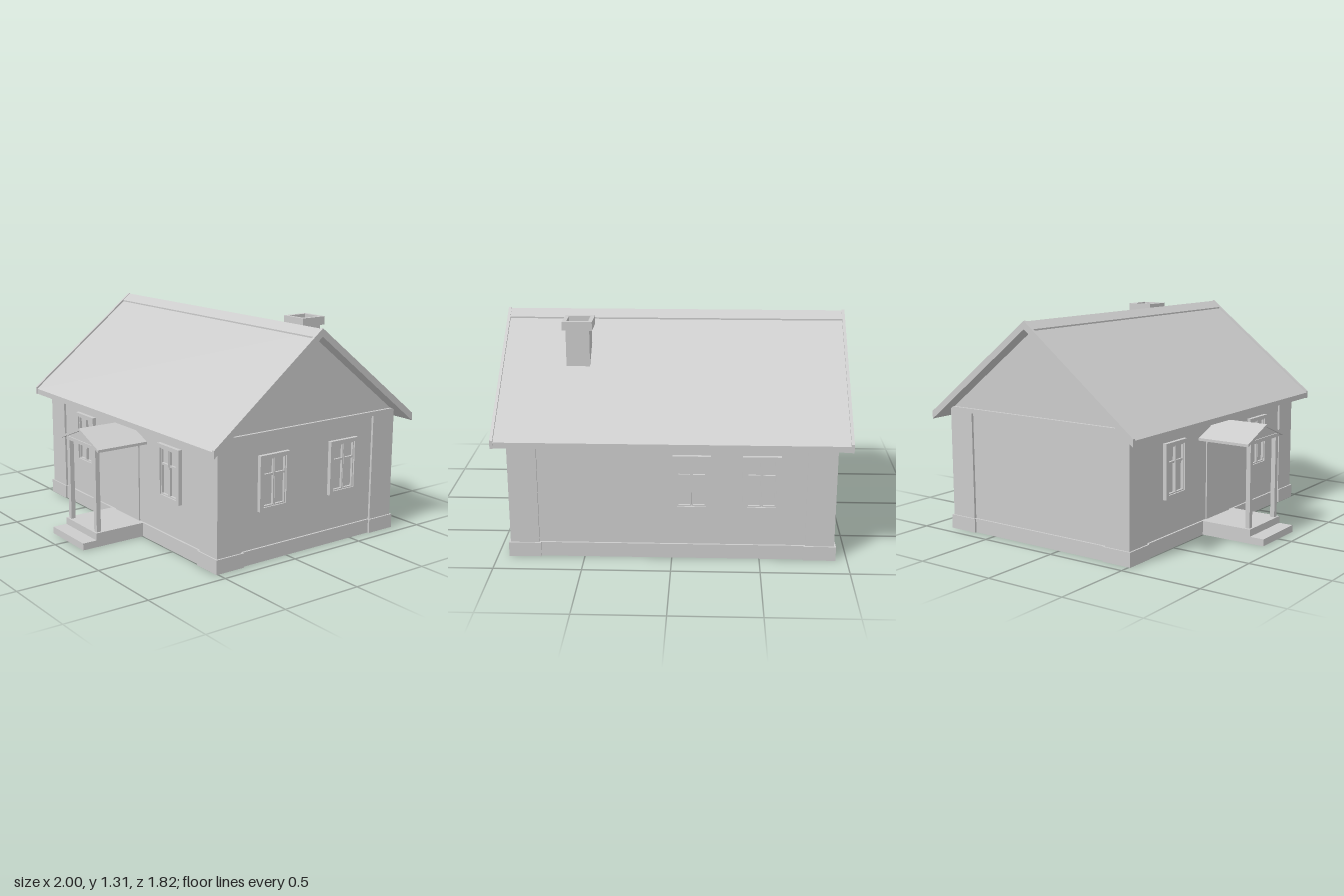
import * as THREE from 'three';

const MID = -0.165; // z of the ridge, middle of the house
const grey = new THREE.MeshStandardMaterial({ color: 0xcccccc, flatShading: true, side: THREE.DoubleSide });

function add(parent, name, geometry, x = 0, y = 0, z = 0) {
  const mesh = new THREE.Mesh(geometry, grey);
  mesh.name = name;
  mesh.position.set(x, y, z);
  parent.add(mesh);
  return mesh;
}

// Box given by its limits on each axis
function block(parent, name, [x0, x1], [y0, y1], [z0, z1]) {
  return add(parent, name, new THREE.BoxGeometry(x1 - x0, y1 - y0, z1 - z0),
    (x0 + x1) / 2, (y0 + y1) / 2, (z0 + z1) / 2);
}

function extrude(points, depth) {
  const shape = new THREE.Shape(points.map(([x, y]) => new THREE.Vector2(x, y)));
  return new THREE.ExtrudeGeometry(shape, { depth, bevelEnabled: false });
}

// Gabled sheet: half span, height of ridge, slope and vertical thickness
function chevron(half, top, slope, thick) {
  const eave = top - half * slope;
  return [[-half, eave - thick], [0, top - thick], [half, eave - thick],
    [half, eave], [0, top], [-half, eave]];
}

// Rectangular plan whose side panels step in between the corner pilasters
function plan(hx, hz, px, pz, inset) {
  const a = hx - inset, b = hz - inset;
  return [[hx, hz], [px, hz], [px, b], [-px, b], [-px, hz], [-hx, hz],
    [-hx, pz], [-a, pz], [-a, -pz], [-hx, -pz], [-hx, -hz],
    [-px, -hz], [-px, -b], [px, -b], [px, -hz], [hx, -hz],
    [hx, -pz], [a, -pz], [a, pz], [hx, pz]];
}

// Open shell through a stack of plans
function loft(rings) {
  const pos = [], idx = [], n = rings[0].plan.length;
  for (const r of rings) for (const [x, z] of r.plan) pos.push(x, r.y, z);
  for (let k = 0; k < rings.length - 1; k++) {
    for (let i = 0; i < n; i++) {
      const a = k * n + i, b = k * n + (i + 1) % n;
      idx.push(a, a + n, b, b, a + n, b + n);
    }
  }
  const g = new THREE.BufferGeometry();
  g.setAttribute('position', new THREE.Float32BufferAttribute(pos, 3));
  g.setIndex(idx);
  const flat = g.toNonIndexed();
  flat.computeVertexNormals();
  return flat;
}

// Rectangular frame with an opening
function frame(w, h, iw, ih, depth) {
  const rect = (p, a, b) => {
    p.moveTo(-a, -b); p.lineTo(a, -b); p.lineTo(a, b); p.lineTo(-a, b); p.closePath();
    return p;
  };
  const shape = rect(new THREE.Shape(), w / 2, h / 2);
  shape.holes.push(rect(new THREE.Path(), iw / 2, ih / 2));
  return new THREE.ExtrudeGeometry(shape, { depth, bevelEnabled: false });
}

// Casement window standing on the local z = 0 plane
function makeWindow() {
  const w = new THREE.Group();
  w.name = 'window';
  add(w, 'windowCasing', frame(0.215, 0.325, 0.163, 0.28, 0.024), 0, 0, 0);
  for (const s of [-1, 1]) {
    add(w, 'windowSash', frame(0.08, 0.28, 0.066, 0.266, 0.015), s * 0.0415, 0, 0);
    block(w, 'glazingBar', [s * 0.0415 - 0.034, s * 0.0415 + 0.034], [0.038, 0.05], [0, 0.013]);
  }
  return w;
}

export function createModel() {
  const house = new THREE.Group();
  house.name = 'house';

  // Plinth, walls with recessed panels, and ledge below the gables
  const plinth = plan(0.935, 0.675, 0.75, 0.485, 0.012);
  const wall = plan(0.925, 0.665, 0.76, 0.495, 0.014);
  const belt = plan(0.925, 0.665, 0.76, 0.495, 0);
  const ledge = plan(0.908, 0.66, 0.76, 0.495, 0);
  add(house, 'walls', loft([
    { plan: plinth, y: 0 }, { plan: plinth, y: 0.085 }, { plan: wall, y: 0.085 },
    { plan: wall, y: 0.73 }, { plan: belt, y: 0.73 }, { plan: belt, y: 0.757 },
    { plan: ledge, y: 0.757 },
  ]), 0, 0, MID);

  // Gable walls
  for (const s of [-1, 1]) {
    const gable = extrude([[-0.655, 0.755], [0.655, 0.755], [0, 1.268]], 0.006);
    gable.rotateY(Math.PI / 2);
    add(house, 'gable', gable, s * 0.905 - 0.003, 0, MID);
  }

  // Main roof, ridge cap and verge boards
  const roofPart = (name, points, x0, x1) => {
    const g = extrude(points, x1 - x0);
    g.rotateY(Math.PI / 2);
    add(house, name, g, x0, 0, MID);
  };
  const slope = 0.778;
  roofPart('roof', chevron(0.743, 1.297, slope, 0.034), -0.985, 0.985);
  roofPart('ridgeCap', chevron(0.053, 1.306, slope, 0.02), -0.985, 0.985);
  for (const s of [-1, 1]) {
    roofPart('vergeBoard', chevron(0.745, 1.31, slope, 0.047), s * 0.9915 - 0.0085, s * 0.9915 + 0.0085);
  }

  // Hollow chimney
  const chimney = new THREE.Group();
  chimney.name = 'chimney';
  chimney.position.set(0.55, 0, -0.426);
  house.add(chimney);
  const upright = (name, out, inn, y0, y1) => {
    const g = frame(out, out, inn, inn, y1 - y0);
    g.rotateX(-Math.PI / 2);
    add(chimney, name, g, 0, y0, 0);
  };
  upright('chimneyShaft', 0.136, 0.11, 0.98, 1.256);
  upright('chimneyCap', 0.172, 0.125, 1.256, 1.306);
  block(chimney, 'flueFloor', [-0.06, 0.06], [1.235, 1.245], [-0.06, 0.06]);

  // Windows: two at the front, two at the back, two on one end
  const placeWindow = (x, z, turn) => {
    const w = makeWindow();
    w.position.set(x, 0.4625, z);
    w.rotation.y = turn;
    house.add(w);
  };
  const panelZ = 0.651, panelX = 0.911;
  for (const x of [-0.48, 0.465]) placeWindow(x, MID + panelZ, 0);
  for (const x of [-0.112, -0.505]) placeWindow(x, MID - panelZ, Math.PI);
  for (const z of [0.102, -0.423]) placeWindow(panelX, z, Math.PI / 2);

  // Door
  block(house, 'door', [-0.132, 0.132], [0.085, 0.573], [0.48, 0.494]);

  // Porch: floor, step, posts, beams and gabled roof
  const porch = new THREE.Group();
  porch.name = 'porch';
  house.add(porch);
  block(porch, 'porchFloor', [-0.18, 0.18], [0, 0.085], [0.487, 0.822]);
  block(porch, 'porchStep', [-0.18, 0.18], [0, 0.042], [0.822, 0.912]);
  for (const s of [-1, 1]) {
    block(porch, 'porchPost', [s * 0.15 - 0.015, s * 0.15 + 0.015], [0.085, 0.585], [0.782, 0.81]);
    block(porch, 'porchSideBeam', [s * 0.15 - 0.015, s * 0.15 + 0.015], [0.582, 0.603], [0.487, 0.785]);
  }
  block(porch, 'porchFrontBeam', [-0.168, 0.168], [0.582, 0.603], [0.78, 0.812]);
  add(porch, 'porchPediment', extrude([[-0.165, 0.602], [0.165, 0.602], [0, 0.668]], 0.02), 0, 0, 0.785);
  add(porch, 'porchRoof', extrude(chevron(0.216, 0.682, 0.395, 0.016), 0.335), 0, 0, 0.487);

  return house;
}
